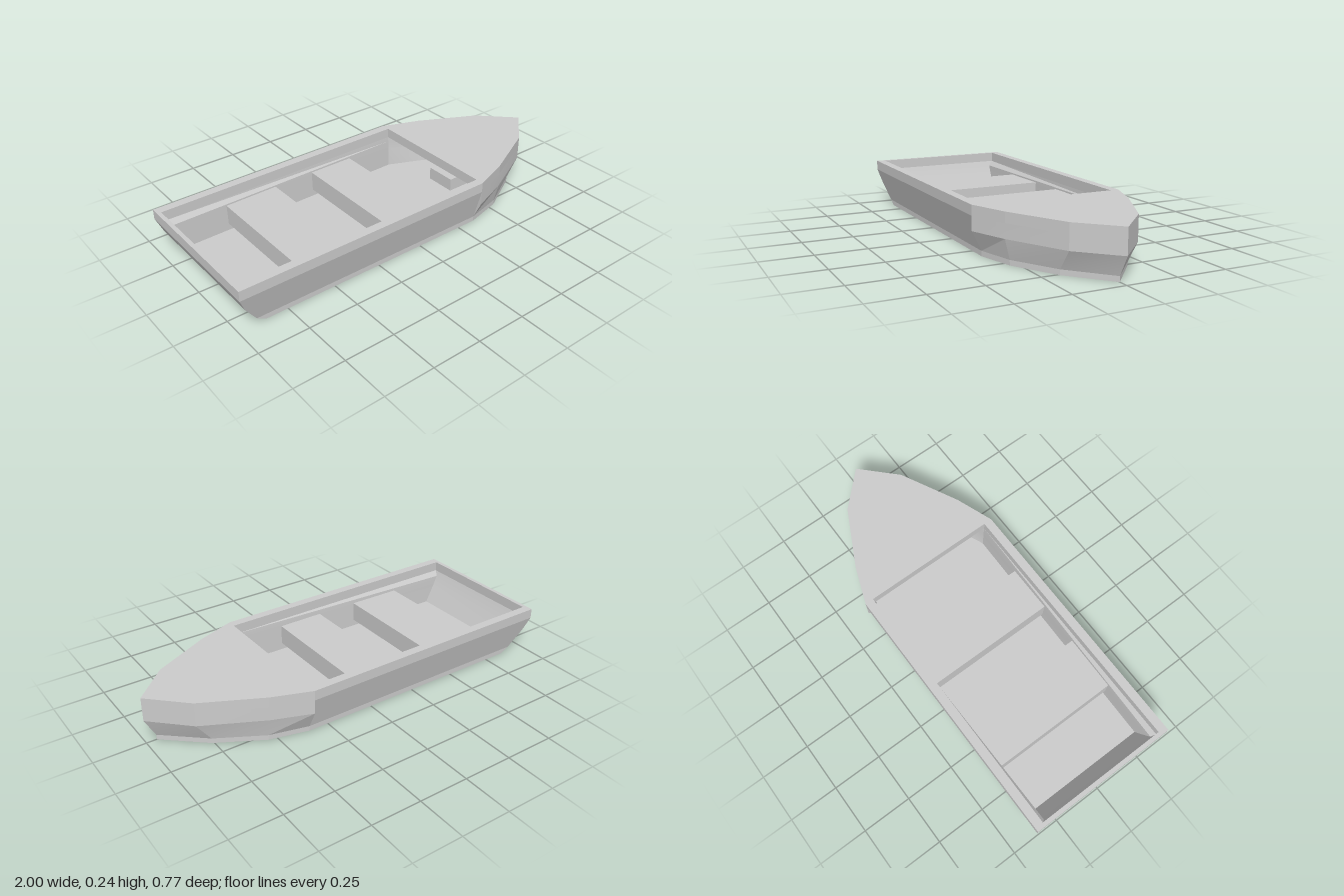
import * as THREE from 'three';
import { toCreasedNormals } from 'three/addons/utils/BufferGeometryUtils.js';

const material = new THREE.MeshStandardMaterial({ color: 0xcccccc });

// Plan outline at one level: side and bow halves given from the stern, mirrored to the other side
function outline(stern, side, bowHalf, bow) {
  const half = [[stern, side[0]], [0.35, side[1]], ...bowHalf];
  const mirrored = half.map(([x, z]) => [x, -z]).reverse();
  return [...half, [bow, 0], ...mirrored];
}

// Shell lofted down through outlines and closed at the bottom; inward turns it to face inside
function shell(levels, inward) {
  const positions = [];
  const tri = (a, b, c) => positions.push(...a, ...(inward ? c : b), ...(inward ? b : c));
  const rings = levels.map(([y, plan]) => plan.map(([x, z]) => [x, y, z]));
  const n = rings[0].length;
  for (let r = 0; r < rings.length - 1; r++) {
    for (let i = 0; i < n; i++) {
      const j = (i + 1) % n;
      tri(rings[r + 1][i], rings[r + 1][j], rings[r][j]);
      tri(rings[r + 1][i], rings[r][j], rings[r][i]);
    }
  }
  const last = rings[rings.length - 1];
  for (let i = 1; i < n - 1; i++) tri(last[0], last[i + 1], last[i]);
  const geometry = new THREE.BufferGeometry();
  geometry.setAttribute('position', new THREE.Float32BufferAttribute(positions, 3));
  return toCreasedNormals(geometry, 0.2);
}

export function createModel() {
  const group = new THREE.Group();
  const add = (name, geometry) => {
    const mesh = new THREE.Mesh(geometry, material);
    mesh.name = name;
    group.add(mesh);
    return mesh;
  };

  const upperBow = [[0.35, 0.383], [0.54, 0.313], [0.83, 0.167]];
  const lowerBow = [[0.35, 0.337], [0.54, 0.29], [0.76, 0.167]];
  const rim = outline(-1, [0.383, 0.383], upperBow, 1);

  // Outer hull: sloped sides that step out slightly at the bow, and a raked stern
  add('outerHull', shell([
    [0.19, rim],
    [0.12, outline(-0.97, [0.3635, 0.3635], upperBow, 1)],
    [0.025, outline(-0.905, [0.337, 0.337], lowerBow, 0.95)],
    [0, outline(-0.86, [0.337, 0.337], lowerBow, 0.95)],
  ], false));

  // Inner walls and floor, running on under the foredeck
  const innerBow = [[0.52, 0.28], [0.8, 0.14]];
  add('innerHull', shell([
    [0.19, outline(-0.98, [0.34, 0.34], innerBow, 0.94)],
    [0.165, outline(-0.97, [0.318, 0.338], innerBow, 0.94)],
    [0.12, outline(-0.95, [0.317, 0.337], innerBow, 0.94)],
    [0.022, outline(-0.9, [0.315, 0.333], [[0.52, 0.26], [0.73, 0.145]], 0.9)],
  ], true));

  // Gunwale and foredeck in one slab, with the open well cut out
  const deck = new THREE.Shape(rim.map(([x, z]) => new THREE.Vector2(x, -z)));
  const well = [[-0.98, -0.34], [-0.98, 0.34], [0.35, 0.34], [0.35, -0.34]];
  deck.holes.push(new THREE.Path(well.map(([x, y]) => new THREE.Vector2(x, y))));
  const slab = new THREE.ExtrudeGeometry(deck, { depth: 0.05, bevelEnabled: false });
  add('gunwaleAndForedeck', slab.rotateX(-Math.PI / 2).translate(0, 0.19, 0));

  // Thick cross benches
  for (const [name, x, length] of [['rearBench', -0.52, 0.28], ['middleBench', -0.04, 0.24]]) {
    add(name, new THREE.BoxGeometry(length, 0.1, 0.66)).position.set(x, 0.107, 0);
  }

  // Small step under the foredeck
  add('bowStep', new THREE.BoxGeometry(0.18, 0.066, 0.16)).position.set(0.52, 0.055, 0);

  return group;
}
